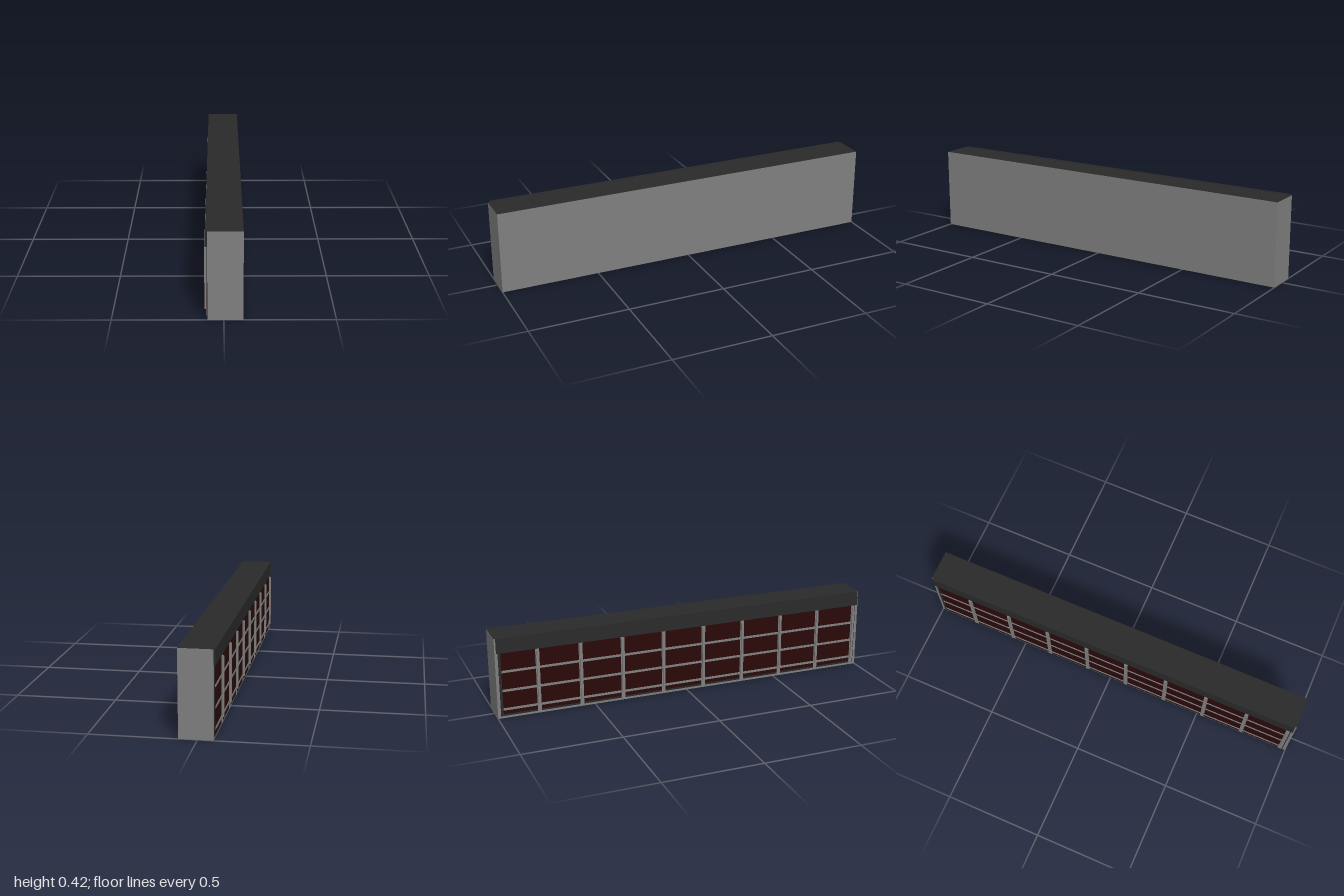
import * as THREE from 'three';

export function createModel() {
  const model = new THREE.Group();
  const material = (name, color) => {
    const m = new THREE.MeshStandardMaterial({ color });
    m.name = name;
    return m;
  };
  const wallGrey = material('wall grey', 0x808080);
  const roofDark = material('roof charcoal', 0x2a2a2a);
  const glassRed = material('dark red glass', 0x2a0909);

  // Box given by its minimum and maximum on each axis
  const box = (name, mat, [x0, x1], [y0, y1], [z0, z1]) => {
    const mesh = new THREE.Mesh(new THREE.BoxGeometry(x1 - x0, y1 - y0, z1 - z0), mat);
    mesh.position.set((x0 + x1) / 2, (y0 + y1) / 2, (z0 + z1) / 2);
    mesh.name = name;
    model.add(mesh);
    return mesh;
  };

  // Building body with a dark top face
  box('body', [wallGrey, wallGrey, roofDark, wallGrey, wallGrey, wallGrey],
    [-0.073, 0.0865], [0, 0.418], [-1, 1]);

  // Overhanging fascia along the glazed side
  box('fascia', roofDark, [-0.082, -0.067], [0.343, 0.42], [-0.992, 0.992]);

  // Glazing with a dark surround
  box('glazingFrame', roofDark, [-0.0755, -0.073], [0.012, 0.343], [-0.985, 0.985]);
  box('glazing', glassRed, [-0.0765, -0.0755], [0.022, 0.343], [-0.972, 0.978]);

  // Horizontal glazing bars
  for (const y of [0.048, 0.146, 0.245]) {
    box('glazingBar', wallGrey, [-0.079, -0.0765], [y - 0.006, y + 0.006], [-0.972, 0.978]);
  }

  // Vertical mullions: a flat backing strip and a projecting fin
  for (let i = 0; i < 9; i++) {
    const z = -0.79 + i * 0.22;
    box('mullionBacking', wallGrey, [-0.079, -0.0765], [0.012, 0.343], [z - 0.01, z + 0.01]);
    box('mullionFin', wallGrey, [-0.0865, -0.079], [0.042, 0.332], [z - 0.006, z + 0.006]);
  }

  return model;
}
